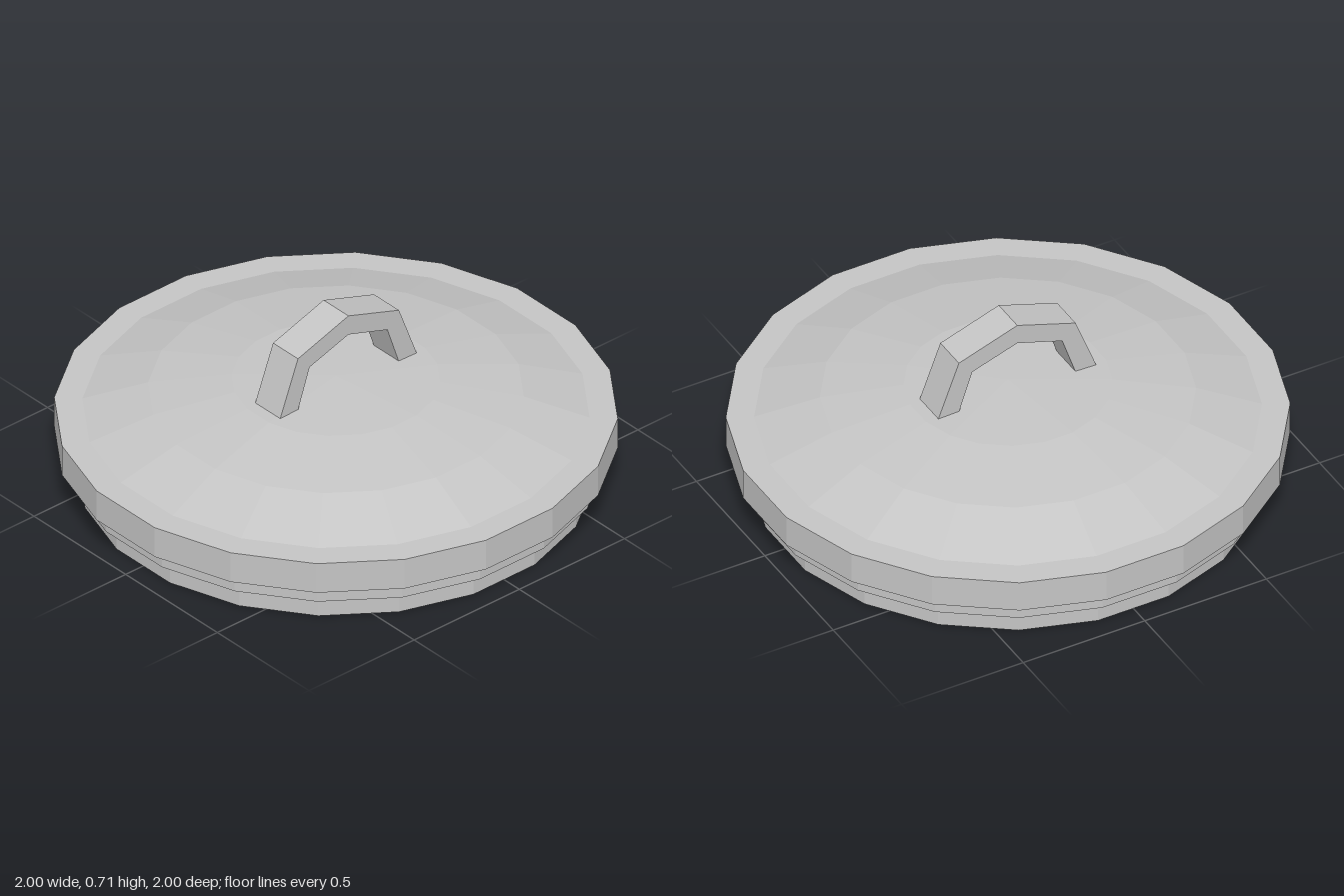
import * as THREE from 'three';

const SIDES = 20;

// Split shared vertices so every facet is flat
function faceted(geometry) {
  const g = geometry.toNonIndexed();
  g.computeVertexNormals();
  return g;
}

export function createModel() {
  const group = new THREE.Group();
  group.name = 'potLid';

  const metal = new THREE.MeshStandardMaterial({ color: 0xc4c4c4 });
  metal.name = 'grey metal';

  // Hollow lid: inner ceiling, inner wall, stepped outer rim, then the dome [radius, height]
  const profile = [
    [0, 0.345], [0.375, 0.335], [0.675, 0.28], [0.875, 0.21],
    [0.875, 0], [0.928, 0], [0.928, 0.09],
    [0.972, 0.09], [0.972, 0.155],
    [1.0125, 0.155], [1.0125, 0.28], [0.911, 0.28],
    [0.675, 0.36], [0.375, 0.408], [0, 0.42],
  ].map(([r, y]) => new THREE.Vector2(r, y));
  const lid = new THREE.Mesh(
    faceted(new THREE.LatheGeometry(profile, SIDES, Math.PI / SIDES)), metal);
  lid.name = 'lid';
  group.add(lid);

  // Angular arched handle: right half of the outline, mirrored
  const outer = [[0.325, 0.408], [0.24, 0.63]];
  const inner = [[0.185, 0.57], [0.24, 0.408]];
  const mirror = (pts) => pts.map(([x, y]) => [-x, y]).reverse();
  const outline = [
    ...outer, [0, 0.71], ...mirror(outer),
    ...mirror(inner), [0, 0.63], ...inner,
  ].map(([x, y]) => new THREE.Vector2(x, y));
  const width = 0.136;
  const arch = new THREE.ExtrudeGeometry(new THREE.Shape(outline), {
    depth: width, bevelEnabled: false,
  });
  arch.translate(0, 0, -width / 2);
  const handle = new THREE.Mesh(arch, metal);
  handle.name = 'handle';
  group.add(handle);

  return group;
}
